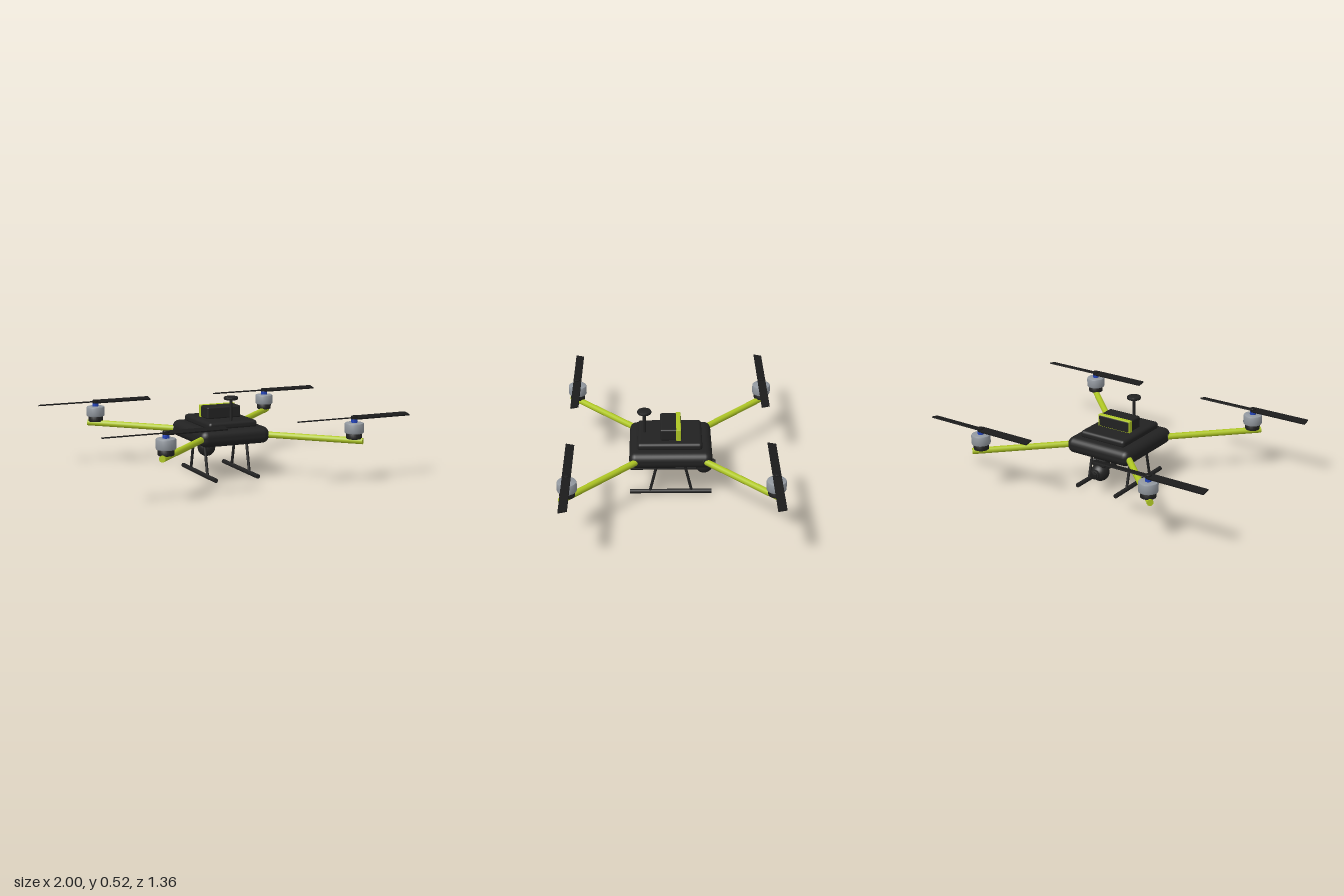
import * as THREE from 'three';
import { RoundedBoxGeometry } from 'three/addons/geometries/RoundedBoxGeometry.js';
import { toCreasedNormals } from 'three/addons/utils/BufferGeometryUtils.js';

const mat = (name, color) => {
  const m = new THREE.MeshStandardMaterial({ color });
  m.name = name;
  return m;
};

export function createModel() {
  const black = mat('matte black', 0x222222);
  const dark = mat('propeller black', 0x1b1b1b);
  const lime = mat('lime', 0xafc724);
  const grey = mat('motor grey', 0x92989f);
  const blue = mat('shaft blue', 0x2244bb);
  const model = new THREE.Group();
  model.name = 'quadcopter';

  const add = (parent, name, geo, material, x = 0, y = 0, z = 0) => {
    const mesh = new THREE.Mesh(geo, material);
    mesh.name = name;
    mesh.position.set(x, y, z);
    parent.add(mesh);
    return mesh;
  };
  const box = (w, h, d, r) => new RoundedBoxGeometry(w, h, d, 3, r);
  // Round drum with softened rims
  const drum = (r, h, c) => toCreasedNormals(new THREE.LatheGeometry([
    [0, -h / 2], [r - c, -h / 2], [r - c * 0.3, -h / 2 + c * 0.3], [r, -h / 2 + c],
    [r, h / 2 - c], [r - c * 0.3, h / 2 - c * 0.3], [r - c, h / 2], [0, h / 2],
  ].map(([x, y]) => new THREE.Vector2(x, y)), 28), 0.6);
  // Rod running between two points
  const rod = (parent, name, a, b, r, material) => {
    const from = new THREE.Vector3(...a), dir = new THREE.Vector3(...b).sub(from);
    const mesh = add(parent, name, new THREE.CylinderGeometry(r, r, dir.length(), 16), material);
    mesh.position.copy(from).addScaledVector(dir, 0.5);
    mesh.quaternion.setFromUnitVectors(new THREE.Vector3(0, 1, 0), dir.normalize());
    return mesh;
  };

  // Body shell, deck and battery
  add(model, 'body', box(0.468, 0.105, 0.52, 0.045), black, 0, 0.272, 0);
  add(model, 'topDeck', box(0.33, 0.05, 0.405, 0.02), black, 0, 0.341, 0.005);
  add(model, 'battery', box(0.23, 0.076, 0.132, 0.01), black, 0, 0.402, 0);
  add(model, 'batteryStrap', box(0.238, 0.08, 0.03, 0.004), lime, 0, 0.402, -0.049);

  // Antenna mast
  rod(model, 'mast', [0, 0.355, 0.165], [0, 0.505, 0.165], 0.01, black);
  add(model, 'mastDisc', drum(0.045, 0.02, 0.007), black, 0, 0.508, 0.165);

  // Arms, motors and propellers
  for (const sx of [-1, 1]) for (const sz of [-1, 1]) {
    const at = (d) => [sx * d, 0.27, sz * d];
    rod(model, 'arm', at(0.15), at(0.66), 0.02, lime);
    rod(model, 'armCollar', at(0.16), at(0.22), 0.028, black);

    const rotor = new THREE.Group();
    rotor.name = 'rotor';
    rotor.position.set(sx * 0.62, 0, sz * 0.62);
    model.add(rotor);
    add(rotor, 'motorBase', drum(0.048, 0.036, 0.004), black, 0, 0.3, 0);
    add(rotor, 'motorBell', drum(0.06, 0.066, 0.009), grey, 0, 0.349, 0);
    add(rotor, 'shaft', drum(0.02, 0.028, 0.005), blue, 0, 0.392, 0);
    add(rotor, 'hub', drum(0.02, 0.022, 0.003), dark, 0, 0.413, 0);
    // The two blades are pitched opposite ways
    for (const s of [-1, 1]) {
      const blade = add(rotor, 'blade', new THREE.BoxGeometry(0.379, 0.008, 0.053), dark, s * 0.1895, 0.412, 0);
      blade.rotation.x = s * 0.2;
    }
  }

  // Landing gear
  for (const sx of [-1, 1]) {
    const x = sx * 0.145;
    rod(model, 'skid', [x, 0.014, -0.26], [x, 0.014, 0.26], 0.014, black);
    for (const sz of [-1, 1])
      rod(model, 'leg', [x, 0.015, sz * 0.133], [x, 0.24, sz * 0.08], 0.009, black);
  }

  // Camera gimbal, lens pointing to -z
  add(model, 'gimbalMount', box(0.095, 0.05, 0.073, 0.012), black, 0, 0.193, -0.203);
  add(model, 'cameraBall', new THREE.SphereGeometry(0.058, 28, 20), black, 0, 0.129, -0.214);
  add(model, 'lens', drum(0.03, 0.045, 0.004), black, 0, 0.13, -0.26).rotation.x = Math.PI / 2;
  add(model, 'lensRim', drum(0.024, 0.01, 0.002), dark, 0, 0.13, -0.283).rotation.x = Math.PI / 2;

  return model;
}
